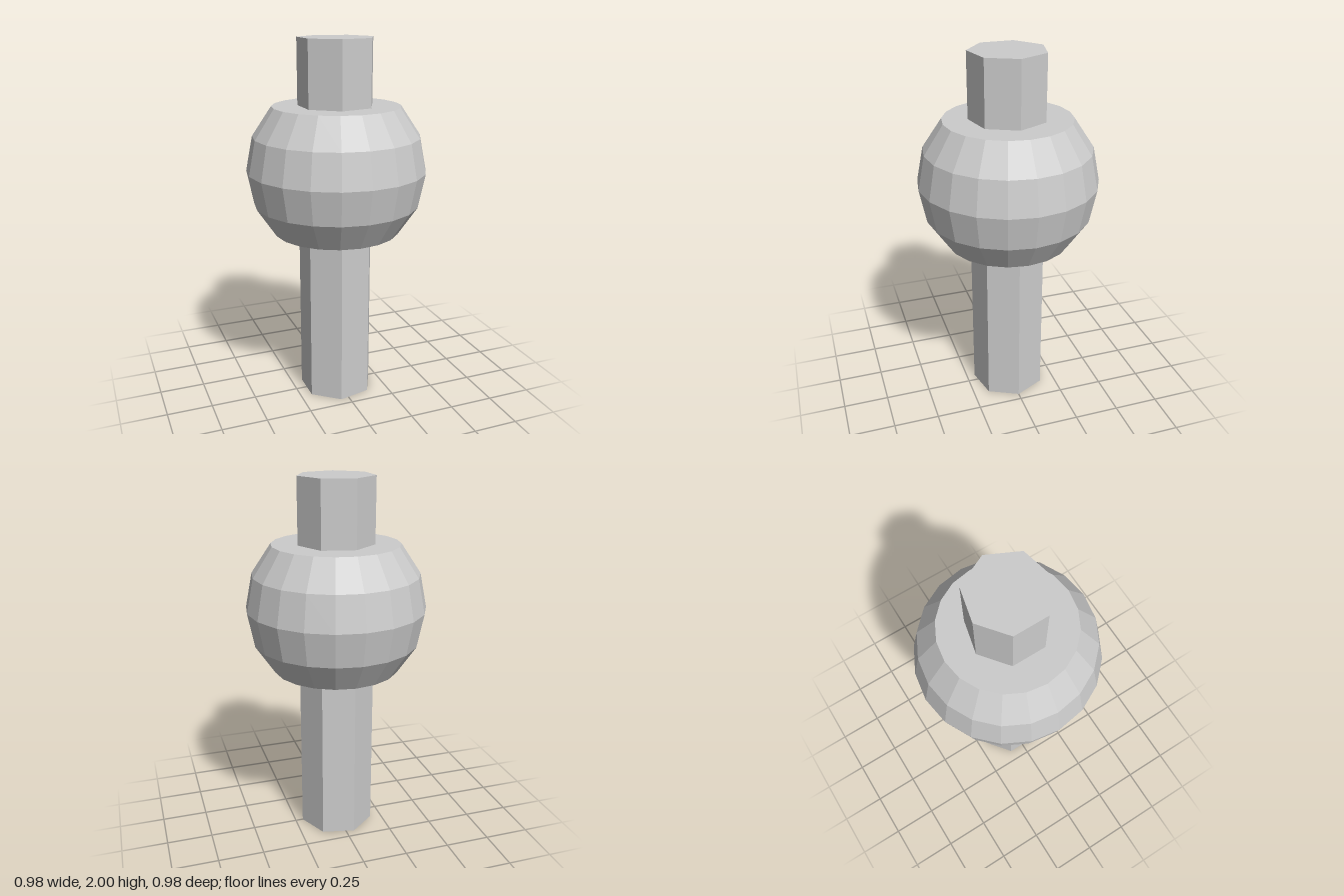
import * as THREE from 'three';

export function createModel() {
  const group = new THREE.Group();
  const material = new THREE.MeshStandardMaterial({ color: 0xcccccc, flatShading: true });

  // Seven-sided shaft with one corner facing +x
  const shaft = new THREE.Mesh(
    new THREE.CylinderGeometry(0.208, 0.208, 2, 7, 1, false, Math.PI / 2), material);
  shaft.name = 'shaft';
  shaft.position.y = 1;
  group.add(shaft);

  // Faceted ball, cut flat at 45 degrees above and below its middle
  const radius = 0.488;
  const profile = [-2, -1, 0, 1, 2].map((i) => {
    const a = (i * Math.PI) / 8;
    return new THREE.Vector2(radius * Math.cos(a), radius * Math.sin(a));
  });
  const flat = profile[4].y;
  profile.unshift(new THREE.Vector2(0, -flat));
  profile.push(new THREE.Vector2(0, flat));
  const ball = new THREE.Mesh(new THREE.LatheGeometry(profile, 20), material);
  ball.name = 'ballCollar';
  ball.position.y = 1.303;
  group.add(ball);

  return group;
}
